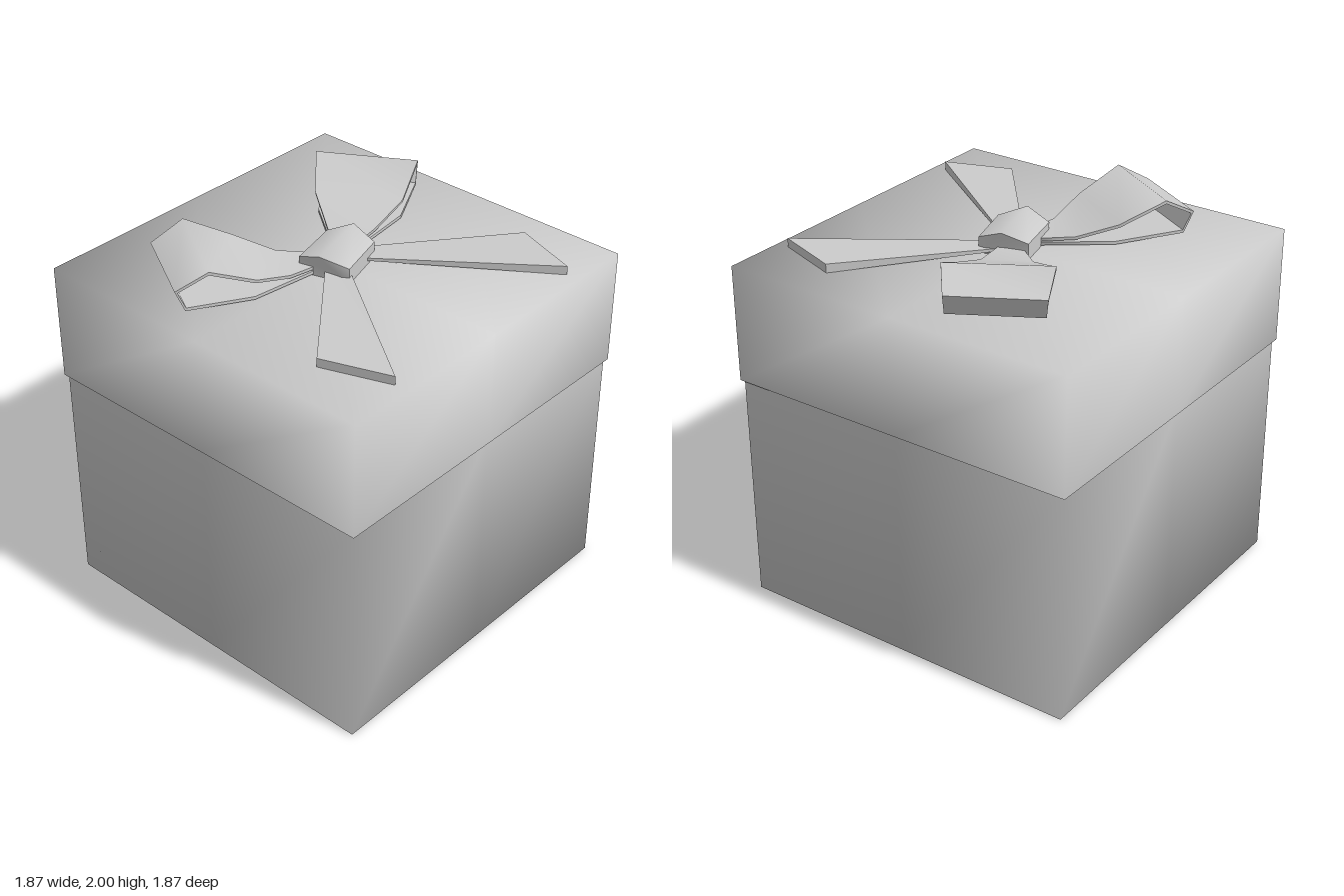
import * as THREE from 'three';
import { mergeVertices, toCreasedNormals } from 'three/addons/utils/BufferGeometryUtils.js';

const material = new THREE.MeshStandardMaterial({ color: 0xcccccc, side: THREE.DoubleSide });

function mesh(name, geometry) {
  const m = new THREE.Mesh(geometry, material);
  m.name = name;
  return m;
}

// Box shell without one face (2 = top, 3 = bottom), softly shaded across its corners
function openBox(width, y0, y1, openFace) {
  const box = new THREE.BoxGeometry(width, y1 - y0, width, 2, 1, 2);
  const { start, count } = box.groups[openFace];
  const index = Array.from(box.index.array);
  index.splice(start, count);
  box.setIndex(index);
  box.clearGroups();
  box.deleteAttribute('uv');
  box.deleteAttribute('normal');
  const shell = mergeVertices(box);
  shell.translate(0, (y0 + y1) / 2, 0);
  shell.computeVertexNormals();
  return shell;
}

// Closed skin over a row of cross-sections with equal point counts
function skin(sections) {
  const n = sections[0].length, last = (sections.length - 1) * n;
  const index = [];
  for (let i = 0; i < last; i += n) {
    for (let j = 0; j < n; j++) {
      const k = (j + 1) % n;
      index.push(i + j, i + n + j, i + n + k, i + j, i + n + k, i + k);
    }
  }
  for (let j = 1; j < n - 1; j++) {
    index.push(0, j, j + 1, last, last + j + 1, last + j);
  }
  const g = new THREE.BufferGeometry();
  g.setAttribute('position', new THREE.Float32BufferAttribute(
    sections.flat().flatMap((p) => p.toArray()), 3));
  g.setIndex(index);
  return toCreasedNormals(g, 1.05);
}

// Ribbon from rails [ax, ay, az, bx, by, bz, thickness]; side -1 mirrors it in x
function ribbon(rails, side, shift) {
  const move = (x, y, z) => new THREE.Vector3(side * x + shift, y, z);
  const ends = rails.map((r) => [move(r[0], r[1], r[2]), move(r[3], r[4], r[5])]);
  const middle = ends.map(([a, b]) => a.clone().add(b).multiplyScalar(0.5));
  return skin(ends.map(([a, b], i) => {
    const along = middle[Math.min(i + 1, rails.length - 1)].clone()
      .sub(middle[Math.max(i - 1, 0)]);
    const offset = along.cross(b.clone().sub(a)).setLength(rails[i][6] / 2);
    return [a.clone().add(offset), b.clone().add(offset),
      b.clone().sub(offset), a.clone().sub(offset)];
  }));
}

const T = 0.016;
// Back edge, front edge: out over the top, round the end, back underneath
const loopRails = [
  [0.06, 1.82, -0.09, 0.10, 1.82, 0.01, T],
  [0.17, 1.825, -0.23, 0.29, 1.825, -0.02, T],
  [0.28, 1.89, -0.40, 0.50, 1.89, -0.03, T],
  [0.45, 1.99, -0.55, 0.71, 1.99, -0.115, T],
  [0.595, 1.905, -0.61, 0.825, 1.905, -0.21, T],
  [0.565, 1.81, -0.58, 0.79, 1.81, -0.19, T],
  [0.28, 1.80, -0.38, 0.50, 1.80, -0.04, T],
  [0.06, 1.80, -0.09, 0.10, 1.80, 0.01, T],
];
const tailRails = [
  [0.02, 1.81, 0.06, 0.08, 1.81, -0.01, 0.012],
  [0.61, 1.807, 0.87, 0.73, 1.807, 0.53, 0.045],
];

export function createModel() {
  const model = new THREE.Group();
  model.name = 'giftBox';

  // Box and lid
  model.add(mesh('boxBody', openBox(1.84, 0, 1.2, 2)));
  model.add(mesh('lid', openBox(1.87, 1.19, 1.785, 3)));

  // Bow
  const bow = new THREE.Group();
  bow.name = 'bow';
  for (const [label, side] of [['left', 1], ['right', -1]]) {
    bow.add(mesh(label + 'Loop', ribbon(loopRails, side, side < 0 ? -0.012 : 0)));
    bow.add(mesh(label + 'Tail', ribbon(tailRails, side, 0.008)));
  }

  // Knot, arched from front to back and turned slightly
  const arch = (front, mid, back) => [
    [front, 1.785], [front, 1.865], [mid, 1.915], [back, 1.865], [back, 1.785],
  ].map(([p, y]) => new THREE.Vector3(p[0], y, p[1]));
  bow.add(mesh('knot', skin([
    arch([-0.12, 0.18], [-0.195, 0.06], [-0.19, -0.07]),
    arch([0.145, 0.1], [0.145, -0.03], [0.08, -0.14]),
  ])));
  model.add(bow);
  return model;
}
